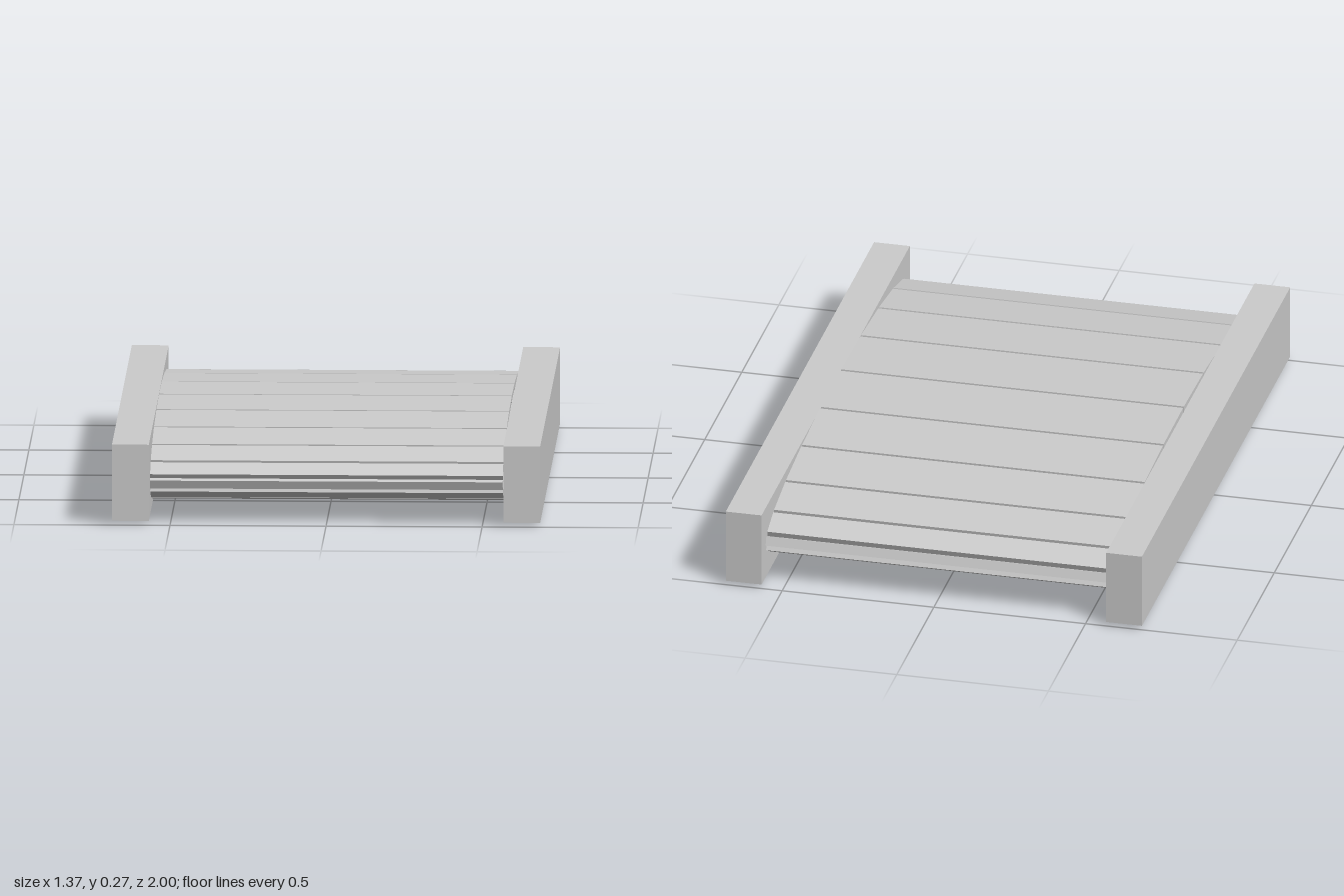
import * as THREE from 'three';

const SLATS = 22;          // slats around the loop
const LOOP_A = 0.96;       // half length of the loop (z)
const LOOP_B = 0.127;      // half height of the loop (y)
const MID_Y = 0.138;
const MID_Z = 0.005;
const THICK = 0.02;
const GAP = 0.01;
const WIDTH = 1.13;
const PHASE = THREE.MathUtils.degToRad(5.2);

export function createModel() {
  const group = new THREE.Group();
  const material = new THREE.MeshStandardMaterial({ color: 0xcccccc, flatShading: true });

  // Side rails
  for (const side of [-1, 1]) {
    const rail = new THREE.Mesh(new THREE.BoxGeometry(0.118, 0.247, 2), material);
    rail.name = side > 0 ? 'leftRail' : 'rightRail';
    rail.position.set(side * 0.627, MID_Y + 0.001, 0);
    group.add(rail);
  }

  // Belt of flat slats, one per chord of an elliptical loop
  const belt = new THREE.Group();
  belt.name = 'belt';
  const corner = (i) => {
    const t = PHASE + (i / SLATS) * Math.PI * 2;
    return new THREE.Vector2(LOOP_A * Math.cos(t), LOOP_B * Math.sin(t)); // (z, y)
  };
  for (let i = 0; i < SLATS; i++) {
    const a = corner(i);
    const b = corner(i + 1);
    const slat = new THREE.Mesh(new THREE.BoxGeometry(WIDTH, THICK, a.distanceTo(b) - GAP), material);
    slat.name = 'slat' + (i + 1);
    slat.position.set(0, MID_Y + (a.y + b.y) / 2, MID_Z + (a.x + b.x) / 2);
    slat.rotation.x = -Math.atan2(b.y - a.y, b.x - a.x);
    belt.add(slat);
  }
  group.add(belt);

  return group;
}
